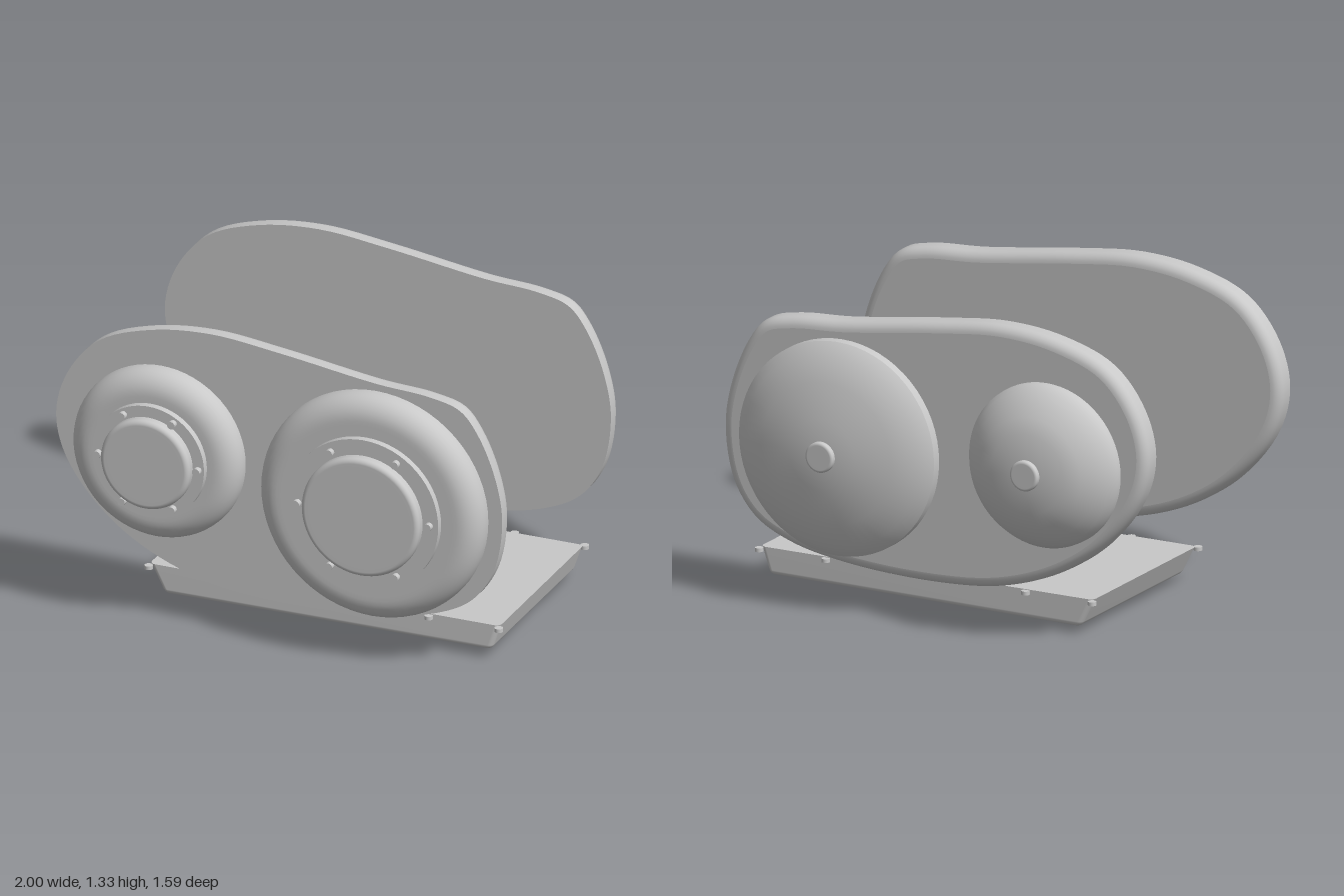
import * as THREE from 'three';
import { mergeGeometries } from 'three/addons/utils/BufferGeometryUtils.js';

const metal = new THREE.MeshStandardMaterial({ color: 0xc8c8c8 });
metal.name = 'light grey metal';

function part(name, geometry, parent) {
  const mesh = new THREE.Mesh(geometry, metal);
  mesh.name = name;
  parent.add(mesh);
  return mesh;
}

// Move a counter-clockwise outline inwards along its normals
function inset(points, d) {
  const n = points.length;
  return points.map((p, i) => {
    const t = points[(i + 1) % n].clone().sub(points[(i + n - 1) % n]).normalize();
    return new THREE.Vector2(p.x - t.y * d, p.y + t.x * d);
  });
}

// Slab from z = 0 to depth, rounded at z = 0 and sharp at z = depth
function roundedSlab(outline, depth, radius, steps = 6) {
  const n = outline.length, pos = [], idx = [];
  const rings = [[0, depth]];
  for (let k = 0; k <= steps; k++) {
    const a = (k / steps) * Math.PI / 2;
    rings.push([radius * (1 - Math.cos(a)), radius * (1 - Math.sin(a))]);
  }
  rings.forEach(([d, z], k) => {
    inset(outline, d).forEach((p, i) => {
      pos.push(p.x, p.y, z);
      if (k === 0) return;
      const j = (i + 1) % n, a = (k - 1) * n + i, b = (k - 1) * n + j, c = k * n + i, e = k * n + j;
      idx.push(c, e, a, e, b, a);
    });
  });
  const side = new THREE.BufferGeometry();
  side.setAttribute('position', new THREE.Float32BufferAttribute(pos, 3));
  side.setIndex(idx);
  side.computeVertexNormals();
  const top = new THREE.ShapeGeometry(new THREE.Shape(outline)).translate(0, 0, depth);
  const bottom = new THREE.ShapeGeometry(new THREE.Shape(inset(outline, radius)));
  bottom.setIndex(Array.from(bottom.index.array).reverse());
  bottom.computeVertexNormals();
  top.deleteAttribute('uv');
  bottom.deleteAttribute('uv');
  return mergeGeometries([side, top, bottom]);
}

// Turned part facing +z (dir 1) or -z (dir -1); profile holds [radius, distance]
function turned(profile, dir) {
  const pts = profile.map(([r, h]) => new THREE.Vector2(r, h));
  return new THREE.LatheGeometry(pts, 64).rotateX(dir * Math.PI / 2);
}

// Profile of a drum with a rounded outer edge and a flat end
function roundedDrum(r, h0, h1, er, eh) {
  const pts = [[r, h0]];
  for (let k = 0; k <= 8; k++) {
    const a = (k / 8) * Math.PI / 2;
    pts.push([r - er * (1 - Math.cos(a)), h1 - eh * (1 - Math.sin(a))]);
  }
  pts.push([r - er - 0.02, h1], [0, h1]);
  return pts;
}

function coverOutline() {
  const pts = [
    [-0.31, 1.33], [0, 1.3], [0.435, 1.24], [0.675, 1.222], [0.81, 1.185], [0.89, 1.09],
    [0.97, 0.9], [1, 0.71], [0.96, 0.48], [0.86, 0.335], [0.7, 0.25], [0.435, 0.195],
    [0, 0.175], [-0.31, 0.205], [-0.58, 0.3], [-0.79, 0.445], [-0.955, 0.66], [-1, 0.85],
    [-0.95, 1.04], [-0.81, 1.21], [-0.58, 1.3],
  ].reverse().map(([x, y]) => new THREE.Vector3(x, y, 0));
  const curve = new THREE.CatmullRomCurve3(pts, true, 'centripetal');
  return curve.getPoints(126).slice(0, -1).map(p => new THREE.Vector2(p.x, p.y));
}

// Drum with flange, end cap and a circle of six bolts
function frontHousing(name, x, y, r, flangeR, capR, boltR) {
  const g = new THREE.Group();
  g.name = name;
  g.position.set(x, y, 0);
  part('drum', turned(roundedDrum(r, 0.61, 0.72, 0.1, 0.09), 1), g);
  part('flange', new THREE.CylinderGeometry(flangeR, flangeR, 0.035, 64)
    .rotateX(Math.PI / 2).translate(0, 0, 0.733), g);
  part('endCap', turned(roundedDrum(capR, 0.745, 0.795, 0.022, 0.022), 1), g);
  for (let i = 0; i < 6; i++) {
    const a = i * Math.PI / 3;
    part('flangeBolt', new THREE.CylinderGeometry(0.017, 0.017, 0.03, 16)
      .rotateX(Math.PI / 2).translate(boltR * Math.cos(a), boltR * Math.sin(a), 0.76), g);
  }
  return g;
}

// Domed cover with a round knob
function rearDome(name, x, y, rim, dome) {
  const g = new THREE.Group();
  g.name = name;
  g.position.set(x, y, 0);
  if (rim) part('domeRim', turned(rim, -1), g);
  part('dome', turned(dome, -1), g);
  part('knob', turned(roundedDrum(0.065, 0.75, 0.797, 0.012, 0.01), -1), g);
  return g;
}

// Shallow tray with sloping ends, side bolts and a drain plug
function pan() {
  const g = new THREE.Group();
  g.name = 'pan';
  const hx = 0.785, hz = 0.437, c = 0.025, outline = [];
  [[1, 1], [-1, 1], [-1, -1], [1, -1]].forEach(([sx, sy], q) => {
    for (let k = 0; k <= 5; k++) {
      const a = (q + k / 5) * Math.PI / 2;
      outline.push(new THREE.Vector2(sx * (hx - c) + c * Math.cos(a), sy * (hz - c) + c * Math.sin(a)));
    }
  });
  const geo = roundedSlab(outline, 0.127, 0.022).rotateX(-Math.PI / 2);
  const p = geo.attributes.position;
  for (let i = 0; i < p.count; i++) {
    const low = 1 - p.getY(i) / 0.127, u = (p.getX(i) + hx) / (2 * hx);
    const left = -0.655 + 0.065 * low, right = 0.915 - 0.04 * low;
    p.setX(i, left + (right - left) * u);
    p.setY(i, 0.031 + p.getY(i) + 0.01 * low * u);
  }
  geo.computeVertexNormals();
  geo.translate(0, 0, 0.01);
  part('tray', geo, g);
  for (const z of [-0.437, 0.457]) {
    for (let i = 0; i < 6; i++) {
      part('trayBolt', new THREE.CylinderGeometry(0.018, 0.018, 0.016, 16)
        .translate(-0.655 + i * 0.314, 0.147, z), g);
    }
  }
  part('drainPlug', new THREE.CylinderGeometry(0.04, 0.04, 0.045, 6).toNonIndexed()
    .rotateY(Math.PI / 6).translate(0.13, 0.0225, 0.01), g);
  return g;
}

export function createModel() {
  const model = new THREE.Group();
  model.name = 'engineCovers';

  // Two matching side plates
  const plate = roundedSlab(coverOutline(), 0.088, 0.045);
  part('frontPlate', plate, model).position.z = 0.53;
  part('rearPlate', plate, model).position.z = -0.6;

  // Drums on the front plate
  model.add(frontHousing('largeHousing', 0.435, 0.705, 0.503, 0.335, 0.265, 0.295));
  model.add(frontHousing('smallHousing', -0.53, 0.768, 0.38, 0.25, 0.2, 0.223));

  // Domes on the rear plate
  model.add(rearDome('largeDome', 0.435, 0.705, [[0.46, 0.59], [0.46, 0.643]],
    [[0.46, 0.643], [0.41, 0.69], [0.305, 0.733], [0.155, 0.765], [0.06, 0.774], [0, 0.775]]));
  model.add(rearDome('smallDome', -0.53, 0.768, null,
    [[0.352, 0.59], [0.35, 0.625], [0.33, 0.66], [0.29, 0.697], [0.235, 0.733], [0.17, 0.76], [0.07, 0.774], [0, 0.775]]));

  model.add(pan());
  return model;
}
